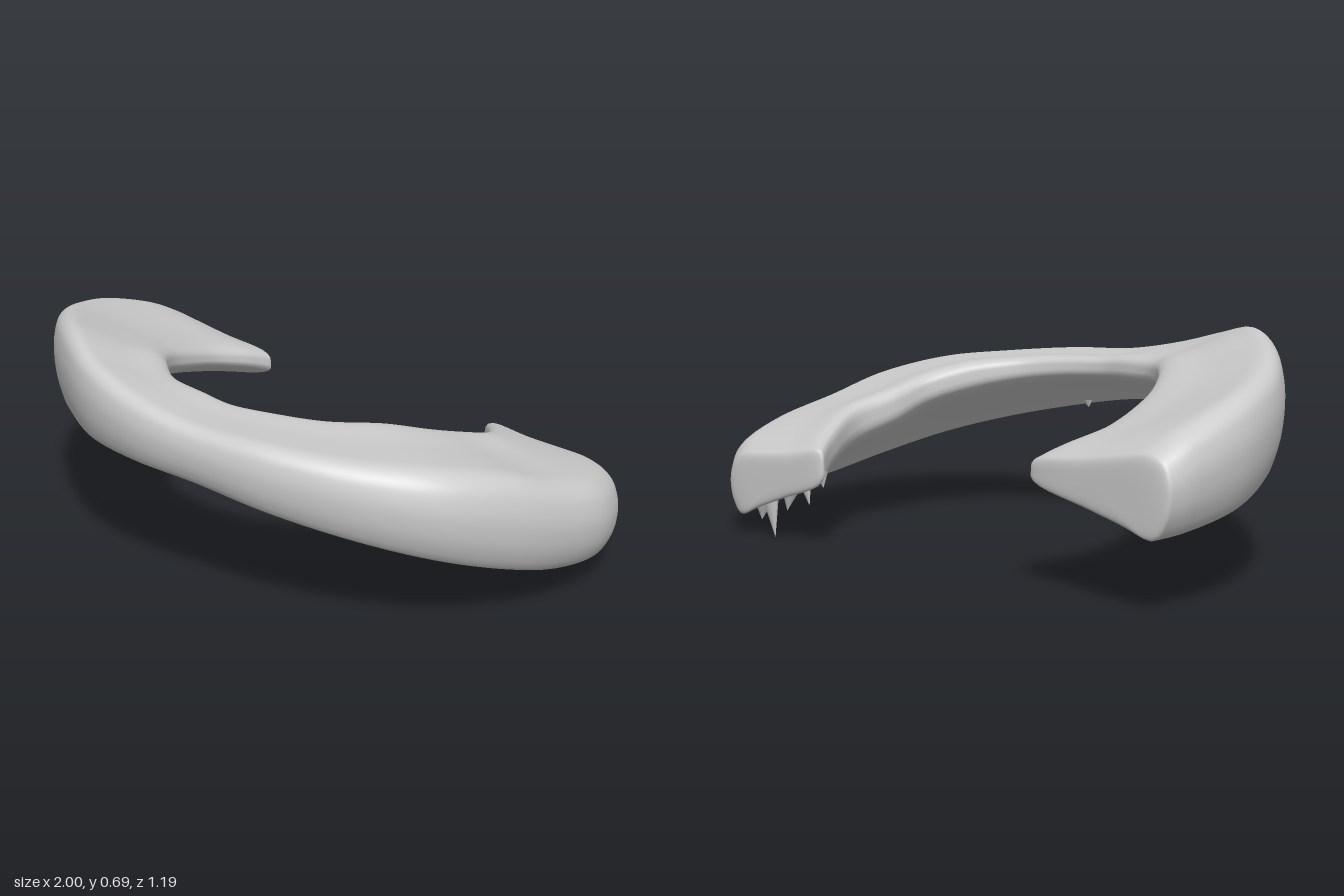
import * as THREE from 'three';

const material = new THREE.MeshStandardMaterial({ color: 0xcccccc, side: THREE.DoubleSide });

// Stations along the horseshoe: outer x, z, top, bottom; inner x, z, top, bottom
const stations = [
  [-0.955, -0.605, 0.46, 0.20, -0.43, -0.55, 0.385, 0.31],
  [-0.985, -0.50, 0.52, 0.205, -0.455, -0.46, 0.415, 0.345],
  [-1.00, -0.28, 0.595, 0.235, -0.50, -0.30, 0.455, 0.39],
  [-0.94, -0.05, 0.645, 0.285, -0.48, -0.08, 0.52, 0.445],
  [-0.81, 0.165, 0.69, 0.34, -0.43, 0.05, 0.56, 0.485],
  [-0.61, 0.375, 0.715, 0.385, -0.36, 0.15, 0.58, 0.50],
  [-0.40, 0.52, 0.67, 0.39, -0.25, 0.25, 0.57, 0.50],
  [-0.19, 0.58, 0.61, 0.385, -0.10, 0.295, 0.565, 0.495],
  [0.05, 0.592, 0.565, 0.37, 0.00, 0.31, 0.555, 0.49],
  [0.30, 0.58, 0.55, 0.325, 0.14, 0.29, 0.55, 0.48],
  [0.56, 0.505, 0.525, 0.265, 0.28, 0.235, 0.54, 0.46],
  [0.765, 0.375, 0.50, 0.20, 0.40, 0.12, 0.525, 0.425],
  [0.90, 0.18, 0.45, 0.13, 0.48, 0.01, 0.49, 0.385],
  [0.97, -0.01, 0.38, 0.08, 0.51, -0.10, 0.455, 0.335],
  [1.00, -0.22, 0.325, 0.055, 0.55, -0.24, 0.415, 0.285],
  [0.935, -0.43, 0.285, 0.04, 0.48, -0.42, 0.36, 0.235],
  [0.83, -0.55, 0.255, 0.04, 0.40, -0.545, 0.32, 0.195],
];

// Rounded wedge section: u runs outer to inner, v runs bottom to top
const section = new THREE.CatmullRomCurve3([
  [0, 0.55], [0.015, 0.74], [0.06, 0.89], [0.16, 0.99], [0.35, 0.99], [0.65, 0.96], [0.93, 0.97],
  [1, 0.5], [0.94, 0.04], [0.6, 0.04], [0.3, 0.03], [0.13, 0.01], [0.035, 0.25],
].map(([u, v]) => new THREE.Vector3(u, v, 0)), true).getPoints(52).slice(0, -1);

// Four rails through the corners of the stations
const rail = (ix, iy, iz) => new THREE.CatmullRomCurve3(
  stations.map((s) => new THREE.Vector3(s[ix], s[iy], s[iz])));
const rails = [rail(0, 2, 1), rail(0, 3, 1), rail(4, 6, 5), rail(4, 7, 5)];

// Length of the rounding at each end, as a share of the path
const END = 0.018;

function ring(t) {
  const [ot, ob, it, ib] = rails.map((c) => c.getPoint(t));
  const centre = ot.clone().add(ob).add(it).add(ib).multiplyScalar(0.25);
  // Shrink the section to its centre so the ends close with soft edges
  const d = Math.max(0, 1 - Math.min(t, 1 - t) / END);
  const shrink = Math.max(0, 1 - d ** 5) ** 0.2;
  return section.map(({ x: u, y: v }) => {
    const p = ob.clone().lerp(ot, v).lerp(ib.clone().lerp(it, v), u);
    return p.lerp(centre, 1 - shrink);
  });
}

function loftGeometry(steps) {
  const n = section.length, points = [], index = [];
  for (let i = 0; i <= steps; i++) {
    points.push(...ring((1 - Math.cos((Math.PI * i) / steps)) / 2)); // denser at the ends
  }
  for (let i = 0; i < steps; i++) {
    for (let j = 0; j < n; j++) {
      const k = (j + 1) % n;
      const a = i * n + j, b = a + n, c = i * n + k, d = c + n;
      index.push(a, b, c, b, d, c);
    }
  }
  const geometry = new THREE.BufferGeometry().setFromPoints(points);
  geometry.setIndex(index);
  geometry.computeVertexNormals();
  return geometry;
}

export function createModel() {
  const group = new THREE.Group();
  group.name = 'horseshoeWedge';
  const add = (name, geometry) => {
    const mesh = new THREE.Mesh(geometry, material);
    mesh.name = name;
    group.add(mesh);
    return mesh;
  };

  add('body', loftGeometry(240));

  // Frayed shreds below the left end and the front edge: x, tip y, z, length, radius, tilt
  [
    [0.43, 0.19, -0.52, 0.05, 0.03, 0.2], [0.50, 0.125, -0.52, 0.09, 0.03, 0.25],
    [0.59, 0.095, -0.515, 0.08, 0.04, -0.2], [0.66, 0.002, -0.52, 0.13, 0.035, 0.15],
    [0.72, 0.05, -0.51, 0.07, 0.045, -0.1], [0.22, 0.345, 0.53, 0.05, 0.04, 0.2],
  ].forEach(([x, tip, z, length, radius, tilt]) => {
    const shred = add('frayedShred', new THREE.ConeGeometry(radius, length, 10));
    shred.rotation.set(Math.PI, 0, tilt);
    shred.scale.z = 0.5;
    shred.position.set(x, tip + length / 2, z);
  });
  return group;
}
